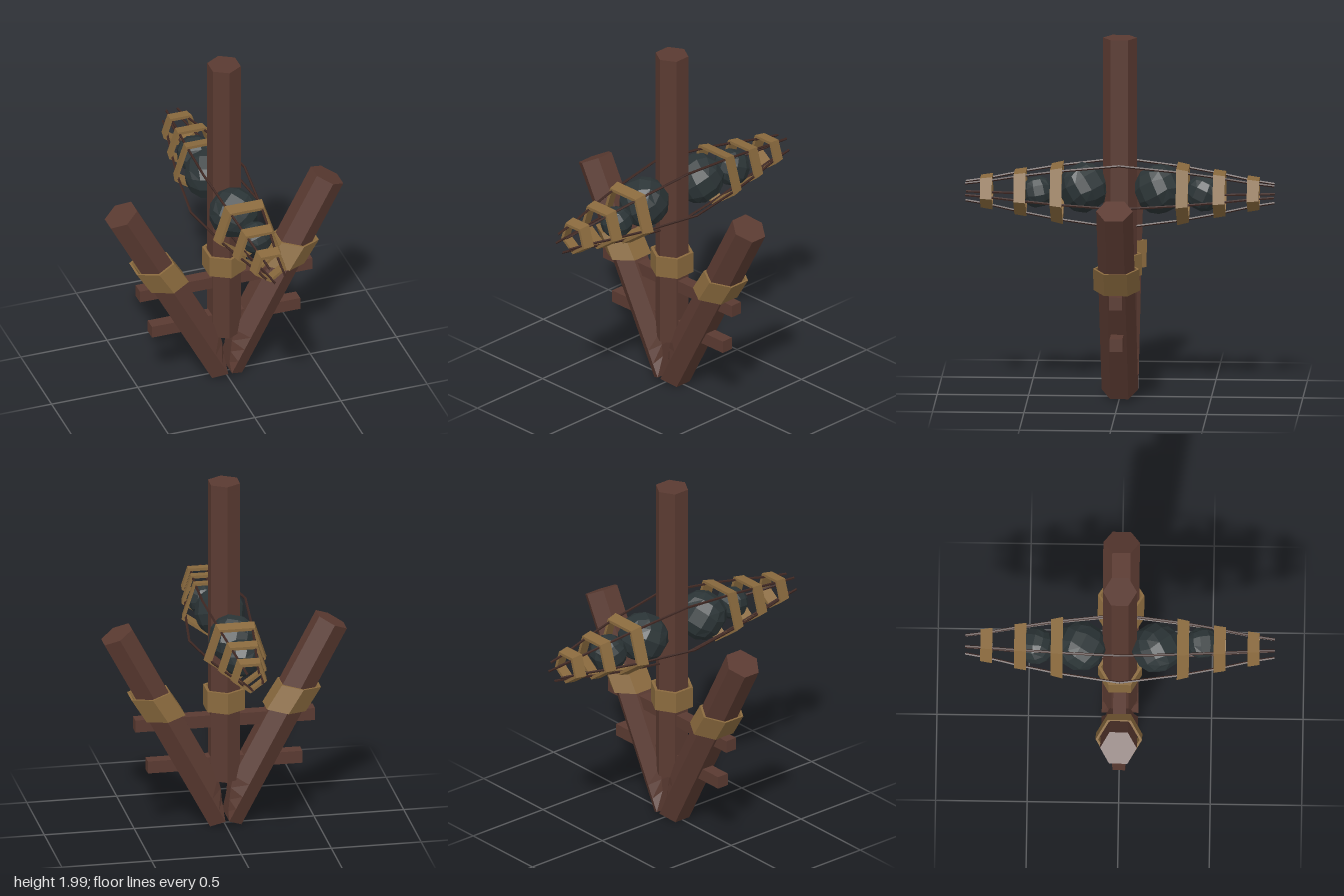
import * as THREE from 'three';

const mat = (color) => new THREE.MeshStandardMaterial({ color, flatShading: true });

export function createModel() {
  const model = new THREE.Group();
  const wood = mat(0x5a3a31), strap = mat(0x8a6a3e), stone = mat(0x2b3436), rope = mat(0x3f2823);

  const add = (name, geometry, material, x = 0, y = 0, z = 0) => {
    const mesh = new THREE.Mesh(geometry, material);
    mesh.name = name;
    mesh.position.set(x, y, z);
    model.add(mesh);
    return mesh;
  };

  // Hollow faceted ring around y, with its own radius at each end
  const ring = (r0, r1, height, wall, sides) => {
    const h = height / 2;
    const profile = [[r0, -h], [r1, h], [r1 - wall, h], [r0 - wall, -h], [r0, -h]];
    return new THREE.LatheGeometry(profile.map(([r, y]) => new THREE.Vector2(r, y)), sides);
  };

  // Upright post with its strap
  add('centrePost', new THREE.CylinderGeometry(0.093, 0.093, 1.73, 6), wood, 0, 1.135, 0);
  add('postStrap', ring(0.121, 0.121, 0.12, 0.018, 6), strap, 0, 0.74, 0);

  // Leaning side posts, trimmed at the foot so they do not meet, and skewed straps
  for (const s of [1, -1]) {
    const side = s > 0 ? 'left' : 'right';
    const leg = new THREE.CylinderGeometry(0.1, 0.1, 1.25, 6, 16);
    leg.rotateZ(-s * THREE.MathUtils.degToRad(28));
    leg.translate(s * 0.304, 0.5975, 0);
    const p = leg.attributes.position;
    for (let i = 0; i < p.count; i++) {
      const gap = 0.01 + 0.1 * Math.max(0, p.getY(i) - 0.045);
      if (p.getY(i) < 0.3) p.setX(i, s * Math.max(s * p.getX(i), gap));
    }
    add(side + 'Post', leg, wood);

    const band = ring(0.127, 0.127, 0.16, 0.014, 6);
    band.applyMatrix4(new THREE.Matrix4().makeBasis(
      new THREE.Vector3(0.985, -s * 0.115, 0),
      new THREE.Vector3(s * 0.528, 0.845, 0),
      new THREE.Vector3(0, 0, 1)));
    band.computeVertexNormals();
    add(side + 'PostStrap', band, strap, s * 0.377, 0.727, 0);
  }

  // Crossbars
  add('upperCrossbar', new THREE.BoxGeometry(1.0, 0.07, 0.07), wood, 0, 0.615, 0);
  add('lowerCrossbar', new THREE.BoxGeometry(0.86, 0.07, 0.07), wood, 0, 0.37, 0);

  // Five-sided hoops of the cage
  const cageY = 1.143;
  for (const [z, inner, outer] of [[0.345, 0.184, 0.168], [0.545, 0.142, 0.131], [0.73, 0.106, 0.095]]) {
    for (const s of [1, -1]) {
      const hoop = s > 0 ? ring(inner, outer, 0.065, 0.02, 5) : ring(outer, inner, 0.065, 0.02, 5);
      hoop.rotateX(Math.PI / 2);
      add('cageHoop', hoop, strap, 0, cageY, s * z);
    }
  }

  // Five ropes running the length of the cage
  const half = [[0, 0.203], [0.345, 0.155], [0.545, 0.116], [0.73, 0.074], [0.845, 0.055]];
  const run = [...half.slice(1).reverse().map(([z, r]) => [-z, r]), ...half];
  for (let k = 0; k < 5; k++) {
    const a = -Math.PI / 2 + (k * Math.PI * 2) / 5;
    const path = new THREE.CurvePath();
    const points = run.map(([z, r]) => new THREE.Vector3(r * Math.cos(a), r * Math.sin(a), z));
    for (let i = 1; i < points.length; i++) path.add(new THREE.LineCurve3(points[i - 1], points[i]));
    add('cageRope', new THREE.TubeGeometry(path, 32, 0.007, 5), rope, 0, cageY, 0);
  }

  // Rounded cube-like stones held in the cage
  const stones = [
    [-0.015, 1.162, 0.2, 0.14, 0.4], [0.025, 1.143, 0.45, 0.09, 1.1],
    [-0.01, 1.158, -0.215, 0.14, 2.0], [-0.005, 1.14, -0.46, 0.104, 2.9],
  ];
  for (const [x, y, z, r, turn] of stones) {
    const rock = new THREE.BoxGeometry(2, 2, 2, 3, 3, 3);
    const p = rock.attributes.position;
    const v = new THREE.Vector3();
    for (let i = 0; i < p.count; i++) {
      v.fromBufferAttribute(p, i).setLength(r);
      p.setXYZ(i, v.x, v.y, v.z);
    }
    rock.computeVertexNormals();
    add('stone', rock, stone, x, y, z).rotation.set(turn, turn * 1.7, turn * 0.6);
  }

  return model;
}
